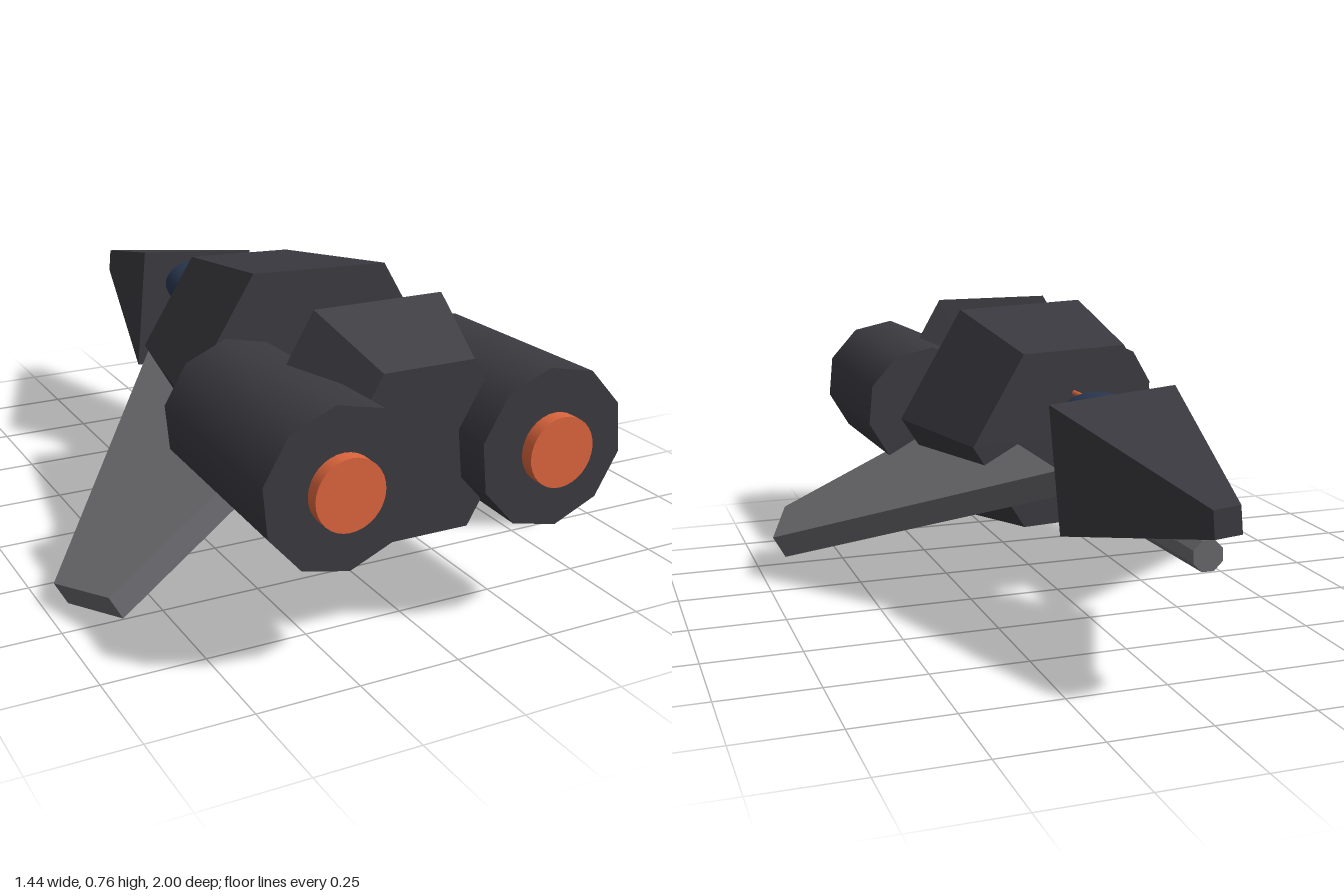
import * as THREE from 'three';

const material = (name, color, flat = false) => {
  const m = new THREE.MeshStandardMaterial({ color, flatShading: flat });
  m.name = name;
  return m;
};

export function createModel() {
  const group = new THREE.Group();
  const hull = material('charcoal hull', 0x3a3a40);
  const grey = material('wing grey', 0x69686c);
  const glass = material('navy canopy', 0x2a3850);
  const orange = material('engine orange', 0xdc653d);
  const CX = -0.018, CY = 0.45;

  const add = (name, geometry, mat) => {
    const mesh = new THREE.Mesh(geometry, mat);
    mesh.name = name;
    group.add(mesh);
    return mesh;
  };

  // Tapered prism along z; angle is the direction of one corner in degrees
  const prism = (sides, zBack, rBack, zFront, rFront, angle, flat = true) => {
    let g = new THREE.CylinderGeometry(rFront, rBack, zFront - zBack, sides, 1, false,
      THREE.MathUtils.degToRad(angle + 90), Math.PI * 2);
    g.rotateX(Math.PI / 2);
    g.translate(0, 0, (zBack + zFront) / 2);
    if (flat) {
      g = g.toNonIndexed();
      g.computeVertexNormals();
    }
    return g;
  };

  // Nose: slightly rolled square taper
  add('nose', prism(4, -1, 0.046, -0.39, 0.235, 40), hull).position.set(CX, CY, 0);

  // Main body: hexagonal taper, a little squashed and rolled
  const body = prism(6, -0.082, 0.28, 0.372, 0.36, 0);
  const p = body.attributes.position;
  for (let i = 0; i < p.count; i++) p.setY(i, p.getY(i) * 0.957 - p.getX(i) * 0.04);
  body.computeVertexNormals();
  add('body', body, hull).position.set(CX, CY, 0);

  // Tail block between the engines
  add('tailBlock', prism(6, 0.648, 0.333, 0.868, 0.23, 0), hull).position.set(CX, CY, 0);

  // Engines with glowing nozzles
  for (const [side, s] of [['left', 1], ['right', -1]]) {
    const x = CX + s * 0.265;
    add(side + 'Engine', prism(10, 0.435, 0.178, 0.967, 0.19, 96, false), hull).position.set(x, CY, 0);
    add(side + 'Nozzle', prism(32, 0.95, 0.083, 1, 0.083, 0, false), orange).position.set(x, CY, 0);
  }

  // Canopy and the small rod behind it
  const canopy = new THREE.SphereGeometry(1, 32, 20);
  canopy.scale(0.1, 0.07, 0.19);
  add('canopy', canopy, glass).position.set(CX, 0.53, -0.305);
  add('rod', prism(8, -0.17, 0.007, -0.06, 0.007, 0, false), orange).position.set(CX, 0.567, 0);

  // Barrel under the nose
  add('barrel', prism(8, -0.91, 0.038, -0.24, 0.054, 22.5), grey).position.set(CX, 0.352, 0);

  // Drooping wings: a slab made from a plan outline and its offset underside
  const plan = [[0.14, -0.4], [0.722, 0.367], [0.655, 0.56], [0.14, 0.43]];
  const wing = (s, rootY) => {
    const top = plan.map(([x, z]) => [s * x, rootY - 0.55 * (x - 0.14), z]);
    const low = top.map(([x, y, z]) => [x - s * 0.033, y - 0.06, z]);
    const v = [];
    const quad = (a, b, c, d) => {
      const order = s > 0 ? [a, c, b, a, d, c] : [a, b, c, a, c, d];
      for (const q of order) v.push(...q);
    };
    quad(...top);
    quad(low[3], low[2], low[1], low[0]);
    for (let i = 0; i < 4; i++) {
      const j = (i + 1) % 4;
      quad(top[j], top[i], low[i], low[j]);
    }
    const g = new THREE.BufferGeometry();
    g.setAttribute('position', new THREE.Float32BufferAttribute(v, 3));
    g.computeVertexNormals();
    return g;
  };
  add('leftWing', wing(1, 0.44), grey);
  add('rightWing', wing(-1, 0.38), grey);

  return group;
}
